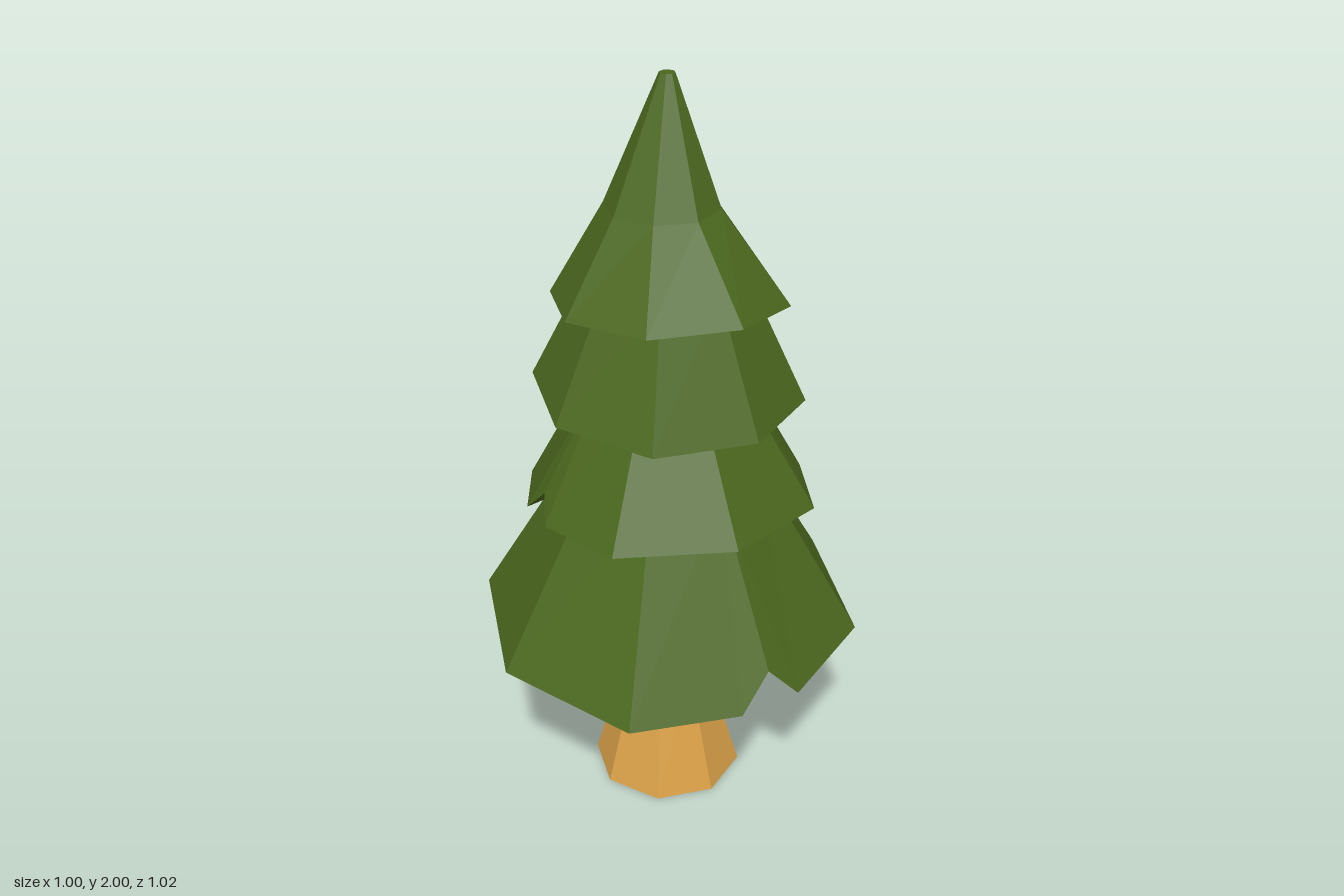
import * as THREE from 'three';

const green = new THREE.MeshStandardMaterial({ color: 0x4b671e, flatShading: true, side: THREE.DoubleSide });
const wood = new THREE.MeshStandardMaterial({ color: 0xdaa048, flatShading: true });

// Skin a stack of closed rings (all with the same point count), bottom to top
function loft(name, rings, material) {
  const pos = [];
  const n = rings[0].length;
  for (let j = 0; j < rings.length - 1; j++) {
    for (let i = 0; i < n; i++) {
      const k = (i + 1) % n;
      const a = rings[j][i], b = rings[j][k], c = rings[j + 1][k], d = rings[j + 1][i];
      pos.push(...a, ...d, ...b, ...b, ...d, ...c);
    }
  }
  const geo = new THREE.BufferGeometry();
  geo.setAttribute('position', new THREE.Float32BufferAttribute(pos, 3));
  geo.computeVertexNormals();
  const mesh = new THREE.Mesh(geo, material);
  mesh.name = name;
  return mesh;
}

// Ring of points around (cx, cz) at the given angles
const ring = (angles, r, y, cx = 0, cz = 0) =>
  angles.map((t) => [cx + r * Math.cos(t), y, cz + r * Math.sin(t)]);

// One skirt of branches: rim corners are [x, y, z]; a corner holding three
// points is a notch, whose points share one edge running up the skirt.
function tier(name, corners, innerY, upper) {
  const rim = [], angles = [];
  for (const c of corners) {
    const points = Array.isArray(c[0]) ? c : [c];
    const mid = points[points.length >> 1];
    for (const p of points) {
      rim.push(p);
      angles.push(Math.atan2(mid[2], mid[0]));
    }
  }
  const under = ring(angles, 0.08, innerY);
  const rows = upper.map(([r, y, cx, cz]) => ring(angles, r, y, cx, cz));
  const [, y, cx, cz] = upper[upper.length - 1];
  return loft(name, [under, rim, ...rows, ring(angles, 0, y, cx, cz)], green);
}

export function createModel() {
  const tree = new THREE.Group();
  tree.name = 'pineTree';

  // Flared octagonal trunk
  const oct = Array.from({ length: 8 }, (_, i) => (i * Math.PI) / 4);
  tree.add(loft('trunk', [
    ring(oct, 0, 0, 0.01),
    ring(oct, 0.207, 0, 0.01),
    ring(oct, 0.108, 0.35, 0.005),
    ring(oct, 0.1, 0.75, 0.015),
    ring(oct, 0, 0.75, 0.015),
  ], wood));

  // Widest skirt, notched on its left
  tree.add(tier('bottomBranches', [
    [0.04, 0.55, -0.515], [0.4, 0.52, -0.345],
    [[0.5, 0.5, -0.05], [0.472, 0.59, 0.03], [0.48, 0.495, 0.12]],
    [0.355, 0.49, 0.385], [-0.02, 0.51, 0.51], [-0.375, 0.54, 0.34],
    [-0.5, 0.565, -0.03], [-0.33, 0.56, -0.385],
  ], 0.68, [[0.24, 1.0, 0.01, 0]]));

  // Second skirt, notched at the front
  tree.add(tier('lowerBranches', [
    [0.1, 0.88, -0.39], [0.35, 0.925, -0.215], [0.4, 0.935, 0.08], [0.225, 0.925, 0.335],
    [[-0.01, 0.915, 0.375], [-0.07, 0.97, 0.335], [-0.14, 0.9, 0.345]],
    [-0.325, 0.875, 0.21], [-0.375, 0.86, -0.09], [-0.2, 0.865, -0.34],
  ], 1.0, [[0.165, 1.3, 0.01, 0]]));

  // Third skirt
  tree.add(tier('upperBranches', [
    [0.01, 1.205, -0.355], [0.26, 1.19, -0.25], [0.36, 1.19, -0.01], [0.265, 1.19, 0.24],
    [0.01, 1.2, 0.345], [-0.235, 1.225, 0.25], [-0.335, 1.19, 0], [-0.235, 1.2, -0.25],
  ], 1.28, [[0.195, 1.53, 0.01, 0]]));

  // Pointed crown with a slightly bent tip
  tree.add(tier('crown', [
    [0.02, 1.5, -0.265], [0.24, 1.455, -0.205], [0.315, 1.48, 0.01], [0.215, 1.475, 0.22],
    [0, 1.465, 0.3], [-0.215, 1.445, 0.2], [-0.29, 1.42, -0.015], [-0.19, 1.44, -0.23],
  ], 1.53, [[0.146, 1.69, -0.008, 0.002], [0.02, 2.0, -0.037, -0.035]]));

  return tree;
}
